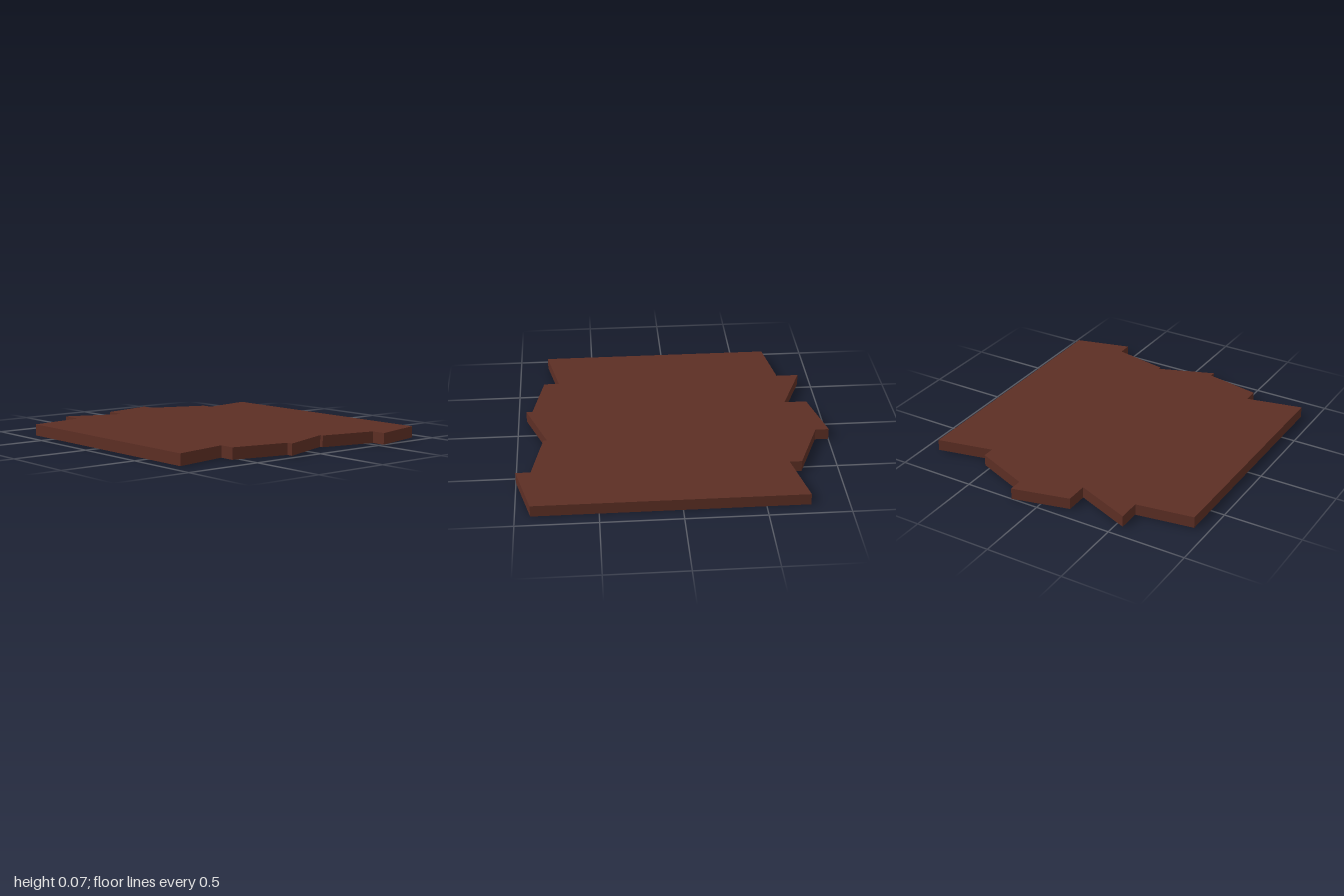
import * as THREE from 'three';

export function createModel() {
  const group = new THREE.Group();
  const wood = new THREE.MeshStandardMaterial({ color: 0x5c2e24 });
  wood.name = 'dark brown wood';

  // Each board, from right to left: z of its back edge (start, end) and front edge (start, end)
  const boards = [
    { back: [-0.71, -0.767], front: [0.81, 0.733] },
    { back: [-0.913, -0.767], front: [0.832, 0.907] },
    { back: [-0.913, -1], front: [0.947, 0.81] },
    { back: [-0.913, -0.767], front: [0.832, 0.907] },
    { back: [-0.69, -0.767], front: [1, 0.907] },
  ];
  const width = 0.3636, thickness = 0.073;
  const edgeX = (i) => (i - boards.length / 2) * width;

  // Jagged outline: along the broken front ends, then back along the rear ends
  const outline = (side) => boards.flatMap((board, i) =>
    board[side].map((z, k) => new THREE.Vector2(edgeX(i + k), -z)));
  const shape = new THREE.Shape([...outline('front'), ...outline('back').reverse()]);

  // Flat slab of joined boards, laid on the ground
  const geometry = new THREE.ExtrudeGeometry(shape, { depth: thickness, bevelEnabled: false });
  geometry.rotateX(-Math.PI / 2);
  const planks = new THREE.Mesh(geometry, wood);
  planks.name = 'brokenPlanks';
  group.add(planks);
  return group;
}
